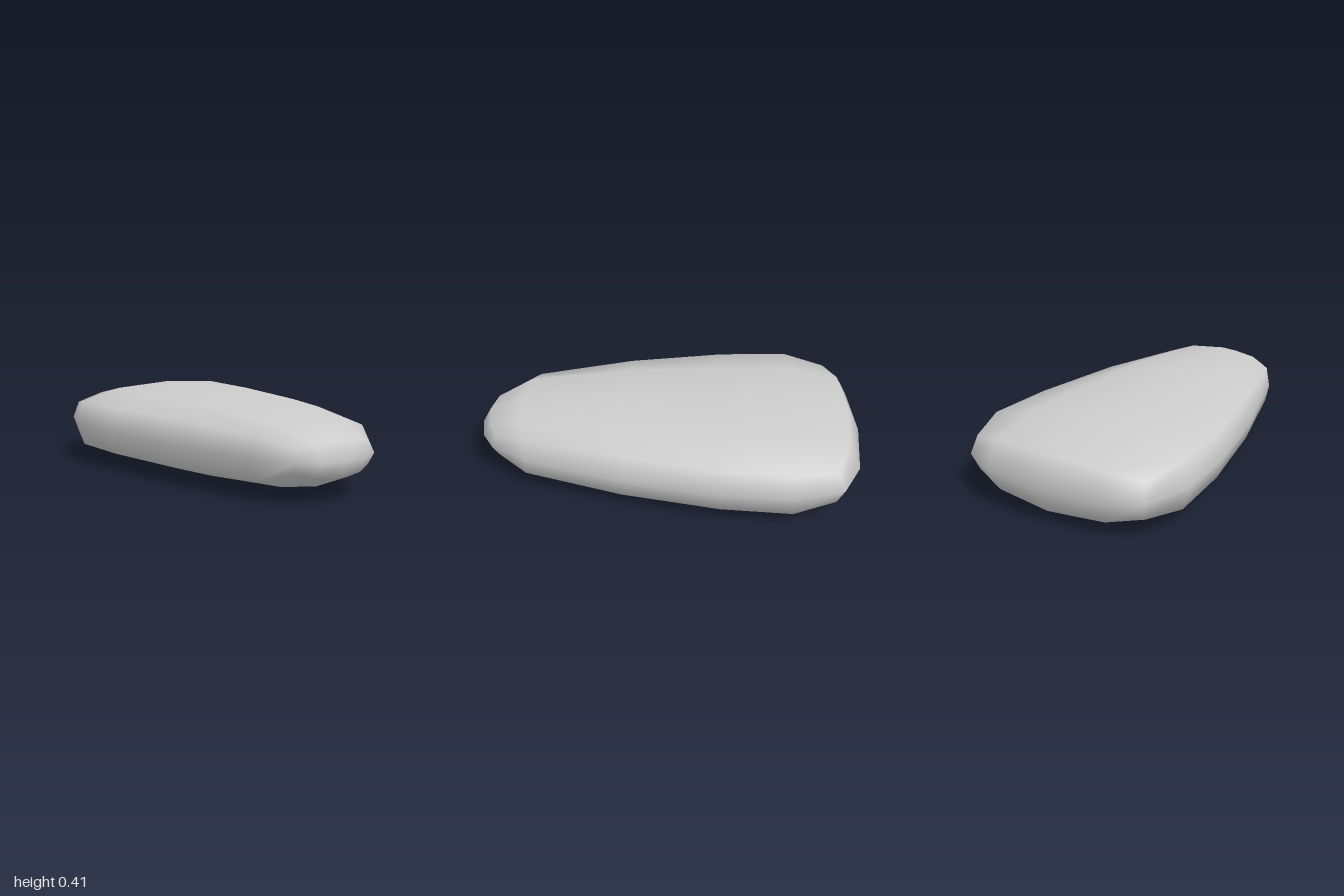
import * as THREE from 'three';
import { mergeVertices } from 'three/addons/utils/BufferGeometryUtils.js';

const MID_Y = 0.205;

// Cross-sections from back to front. Each lists [x, height from middle, z] for
// the top centre, the top between centre and corner, the corner, and the side.
const RINGS = [
  [[0, 0.147, -0.93], [0.305, 0.128, -0.905], [0.48, 0.09, -0.845], [0.5, 0, -0.88]],
  [[0, 0.2, -0.65], [0.31, 0.18, -0.65], [0.545, 0.12, -0.63], [0.58, 0, -0.62]],
  [[0, 0.205, -0.25], [0.3, 0.18, -0.26], [0.525, 0.12, -0.27], [0.565, 0, -0.27]],
  [[0, 0.2, 0.25], [0.255, 0.175, 0.24], [0.435, 0.12, 0.23], [0.475, 0, 0.22]],
  [[0, 0.16, 0.77], [0.195, 0.14, 0.76], [0.31, 0.1, 0.73], [0.335, 0, 0.72]],
  [[0, 0.087, 0.95], [0.125, 0.077, 0.93], [0.21, 0.055, 0.89], [0.23, 0, 0.91]],
];

// Middle rows of the two end caps: [x, z] at the centre and halfway out.
const CAPS = { 0: [[0, -1], [0.325, -0.97]], 5: [[0, 1], [0.13, 0.975]] };

function createBodyGeometry() {
  const box = new THREE.BoxGeometry(4, 2, 5, 4, 2, 5);
  box.deleteAttribute('normal');
  box.deleteAttribute('uv');
  const geometry = mergeVertices(box);
  const pos = geometry.attributes.position;

  // Move each grid point onto its cross-section, mirrored in x and y.
  for (let n = 0; n < pos.count; n++) {
    const i = Math.round(pos.getX(n));
    const j = Math.round(pos.getY(n));
    const k = Math.round(pos.getZ(n) + 2.5);
    const column = Math.abs(i);
    let x, h, z;
    if (j === 0 && column < 2) {
      [x, z] = CAPS[k][column];
      h = 0;
    } else {
      [x, h, z] = RINGS[k][j === 0 ? 3 : column];
    }
    pos.setXYZ(n, Math.sign(i) * x, MID_Y + j * h, z);
  }
  geometry.computeVertexNormals();
  return geometry;
}

export function createModel() {
  const model = new THREE.Group();
  model.name = 'pebble';

  // Tapered, rounded body
  const body = new THREE.Mesh(
    createBodyGeometry(),
    new THREE.MeshStandardMaterial({ color: 0xcccccc })
  );
  body.name = 'body';
  model.add(body);
  return model;
}
